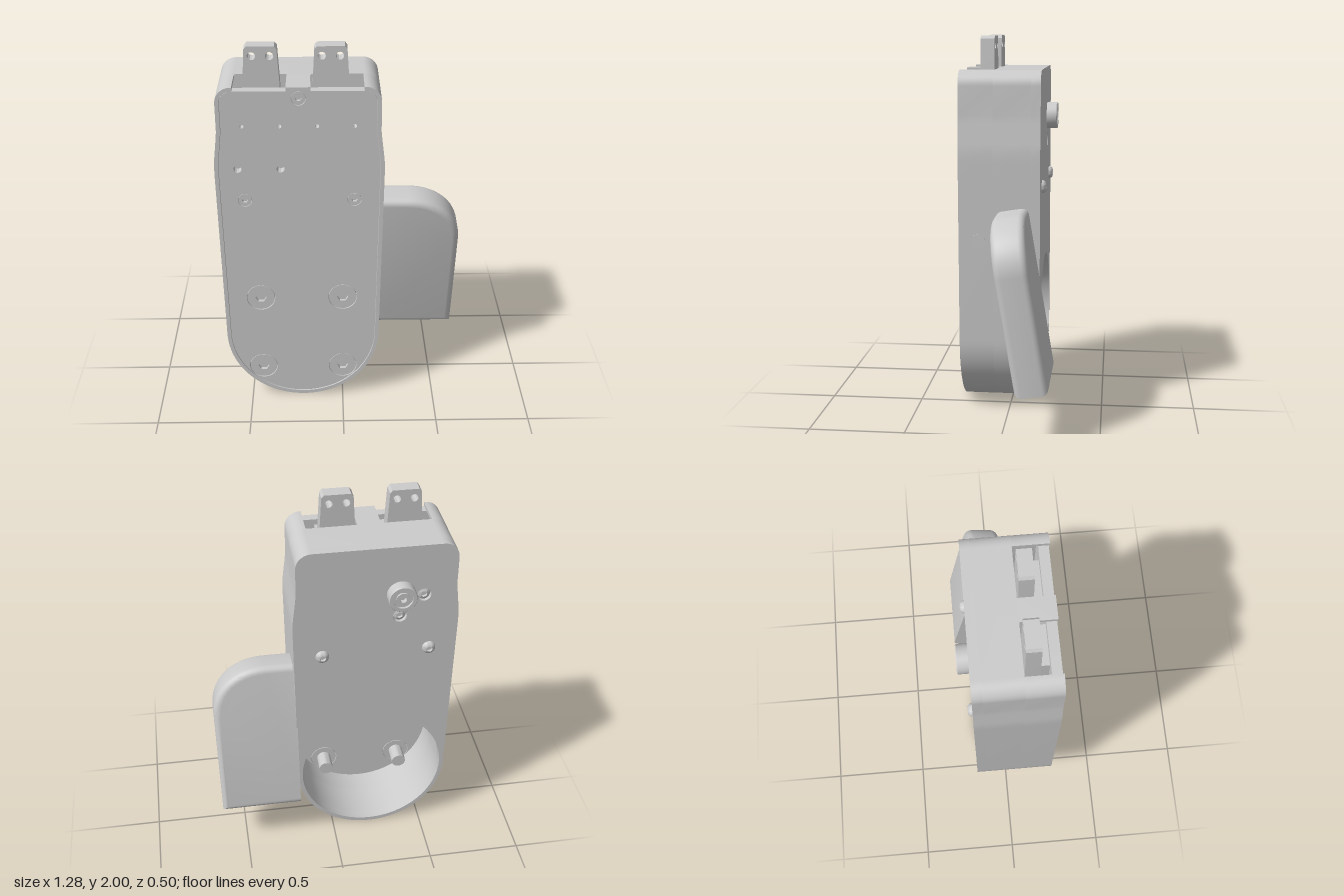
import * as THREE from 'three';
import { toCreasedNormals } from 'three/addons/utils/BufferGeometryUtils.js';

const CX = -0.215, TOP = 1.83, BACK = -0.17, FRONT = 0.255;

export function createModel() {
  const root = new THREE.Group();
  const mat = new THREE.MeshStandardMaterial({ color: 0xcccccc, side: THREE.DoubleSide });

  function add(name, geometry, x = 0, y = 0, z = 0) {
    const mesh = new THREE.Mesh(toCreasedNormals(geometry, 0.6), mat);
    mesh.name = name;
    mesh.position.set(x, y, z);
    root.add(mesh);
    return mesh;
  }

  const extrude = (shape, depth) =>
    new THREE.ExtrudeGeometry(shape, { depth, bevelEnabled: false, curveSegments: 32 });

  const box = (name, x0, x1, y0, y1, z0, z1) =>
    add(name, new THREE.BoxGeometry(x1 - x0, y1 - y0, z1 - z0), (x0 + x1) / 2, (y0 + y1) / 2, (z0 + z1) / 2);

  const circle = (x, y, r) => new THREE.Path().absarc(x, y, r, 0, Math.PI * 2);

  // Body outline inset by d, from the top left, around the round bottom, to the top right
  function outline(d) {
    const half = [[0.32, TOP - d]];
    const r = 0.08 - d;
    for (let i = 0; i <= 8; i++) {
      const a = (i / 8) * Math.PI / 2;
      half.push([0.325 + r * Math.sin(a), TOP - 0.08 + r * Math.cos(a)]);
    }
    for (const [w, y] of [[0.405, 1.6], [0.409, 1.56], [0.421, 1.46], [0.425, 1.42], [0.425, 1.36]]) half.push([w - d, y]);
    for (let i = 0; i <= 24; i++) {
      const a = (i / 24) * Math.PI / 2;
      half.push([(0.41 - d) * Math.cos(a), 0.41 - (0.41 - d) * Math.sin(a)]);
    }
    const left = half.map(([w, y]) => new THREE.Vector2(CX - w, y));
    const right = half.slice(0, -1).reverse().map(([w, y]) => new THREE.Vector2(CX + w, y));
    return [...left, ...right];
  }

  // Lathe part whose axis points along -z (back) or +z (front)
  function turned(name, profile, x, y, z, dir) {
    const g = new THREE.LatheGeometry(profile.map(([r, h]) => new THREE.Vector2(r, h)), 32);
    g.rotateX(dir * Math.PI / 2);
    return add(name, g, x, y, z);
  }

  // Back panel with the large round opening and two sunken screw holes
  const sunken = [[-0.455, 1.545], [-0.335, 1.43]];
  const backShape = new THREE.Shape(outline(0));
  backShape.holes.push(circle(CX, 0.41, 0.388));
  for (const [x, y] of sunken) backShape.holes.push(circle(x, y, 0.036));
  add('backPanel', extrude(backShape, 0.05), 0, 0, BACK);

  // Rear part of the wall is closed; the front part is open at the top for the slots
  const ring = new THREE.Shape(outline(0));
  ring.holes.push(new THREE.Path(outline(0.02)));
  add('rearWall', extrude(ring, 0.195), 0, 0, BACK + 0.05);
  const openRing = new THREE.Shape([...outline(0), ...outline(0.02).reverse()]);
  add('frontWall', extrude(openRing, FRONT - 0.075), 0, 0, 0.075);
  box('slotBridge', CX - 0.06, CX + 0.06, TOP - 0.02, TOP, 0.075, FRONT);

  // Front cover with its bolt holes and small pilot holes
  const bigBolts = [[-0.435, 0.635], [0, 0.635], [-0.435, 0.19], [0, 0.19]];
  const smallBolts = [[-0.495, 1.22], [0.06, 1.22], [CX, 1.77]];
  const cover = new THREE.Shape(outline(0.022));
  for (const [x, y] of bigBolts) cover.holes.push(circle(x, y, 0.076));
  for (const [x, y] of smallBolts) cover.holes.push(circle(x, y, 0.036));
  for (const x of [-0.495, -0.31, -0.125, 0.06]) cover.holes.push(circle(x, 1.625, 0.01));
  for (const x of [-0.525, -0.31]) cover.holes.push(circle(x, 1.395, 0.02));
  add('frontCover', extrude(cover, 0.05), 0, 0, 0.2);

  // Flush socket bolts with shanks reaching into the body
  function bolt(name, x, y, r, socket, shank, end) {
    const head = new THREE.Shape().absarc(0, 0, r, 0, Math.PI * 2);
    const hex = [];
    for (let i = 0; i < 6; i++) hex.push(new THREE.Vector2(socket * Math.cos(i * Math.PI / 3), socket * Math.sin(i * Math.PI / 3)));
    head.holes.push(new THREE.Path(hex));
    add(name + 'Head', extrude(head, 0.048), x, y, 0.2);
    const pin = new THREE.CylinderGeometry(shank, shank, 0.23 - end, 24).rotateX(Math.PI / 2);
    add(name + 'Shank', pin, x, y, (0.23 + end) / 2);
  }
  for (const [x, y] of bigBolts) bolt('coverBolt', x, y, 0.073, 0.03, 0.04, 0.1);
  for (const [x, y] of smallBolts) bolt('coverScrew', x, y, 0.034, 0.016, 0.02, 0.19);

  // Two drilled tabs standing in the top slots, each on an arm inside the body
  for (const [side, x] of [[-1, -0.397], [1, -0.0555]]) {
    const tab = new THREE.Shape([[-0.1, 1.5], [0.1, 1.5], [0.09, 1.81], [0.08, 1.985], [0.068, 2], [-0.068, 2], [-0.08, 1.985], [-0.09, 1.81]]
      .map(([px, py]) => new THREE.Vector2(px, py)));
    for (const h of [-0.044, 0.044]) tab.holes.push(circle(h, 1.952, 0.02));
    add('tab', extrude(tab, 0.073), x, 0, 0.083);
    const a = CX + side * 0.06, b = CX + side * 0.26;
    box('tabArm', Math.min(a, b), Math.max(a, b), 1.5, 1.78, 0.15, 0.198);
  }

  // Round knob, dome screws and sunken screws on the back
  turned('knob', [[0.073, 0], [0.073, 0.053], [0.069, 0.058], [0.05, 0.058], [0.05, 0.045], [0.035, 0.045],
    [0.035, 0.055], [0.018, 0.055], [0.018, 0.03], [0, 0.03]], -0.337, 1.562, BACK, -1);
  const dome = [[0.035, 0], [0.033, 0.011], [0.026, 0.019], [0.016, 0.023], [0.014, 0.01], [0, 0.01]];
  for (const x of [-0.495, 0.06]) turned('domeScrew', dome, x, 1.22, BACK, -1);
  for (const [x, y] of sunken) turned('sunkenScrew', [[0.036, 0], [0.03, 0.014], [0.016, 0.02], [0.014, 0.008], [0, 0.008]], x, y, BACK + 0.025, -1);

  // Small round plug on the side
  const plug = new THREE.CylinderGeometry(0.04, 0.04, 0.03, 32).rotateZ(Math.PI / 2);
  add('sidePlug', plug, 0.191, 0.945, 0.153);

  // Tilted side paddle: rounded edges outside, cut flat where it meets the body
  const B = 0.035, H = 0.435;
  const fin = new THREE.Shape();
  fin.moveTo(0.1, -H + B);
  fin.lineTo(0.592, -H + B);
  fin.lineTo(0.6, 0.17);
  fin.bezierCurveTo(0.6, 0.31, 0.49, H - B, 0.35, H - B);
  fin.lineTo(0.1, H - B);
  const finGeo = new THREE.ExtrudeGeometry(fin, {
    depth: 0.175 - 2 * B, bevelThickness: B, bevelSize: B, bevelSegments: 5, curveSegments: 24,
  });
  finGeo.translate(0, 0, -0.0875 + B);
  const p = finGeo.attributes.position;
  for (let i = 0; i < p.count; i++) p.setX(i, Math.max(p.getX(i), 0.195));
  add('sidePaddle', finGeo, 0, 0.688, -0.093).rotation.x = 0.165;

  return root;
}
